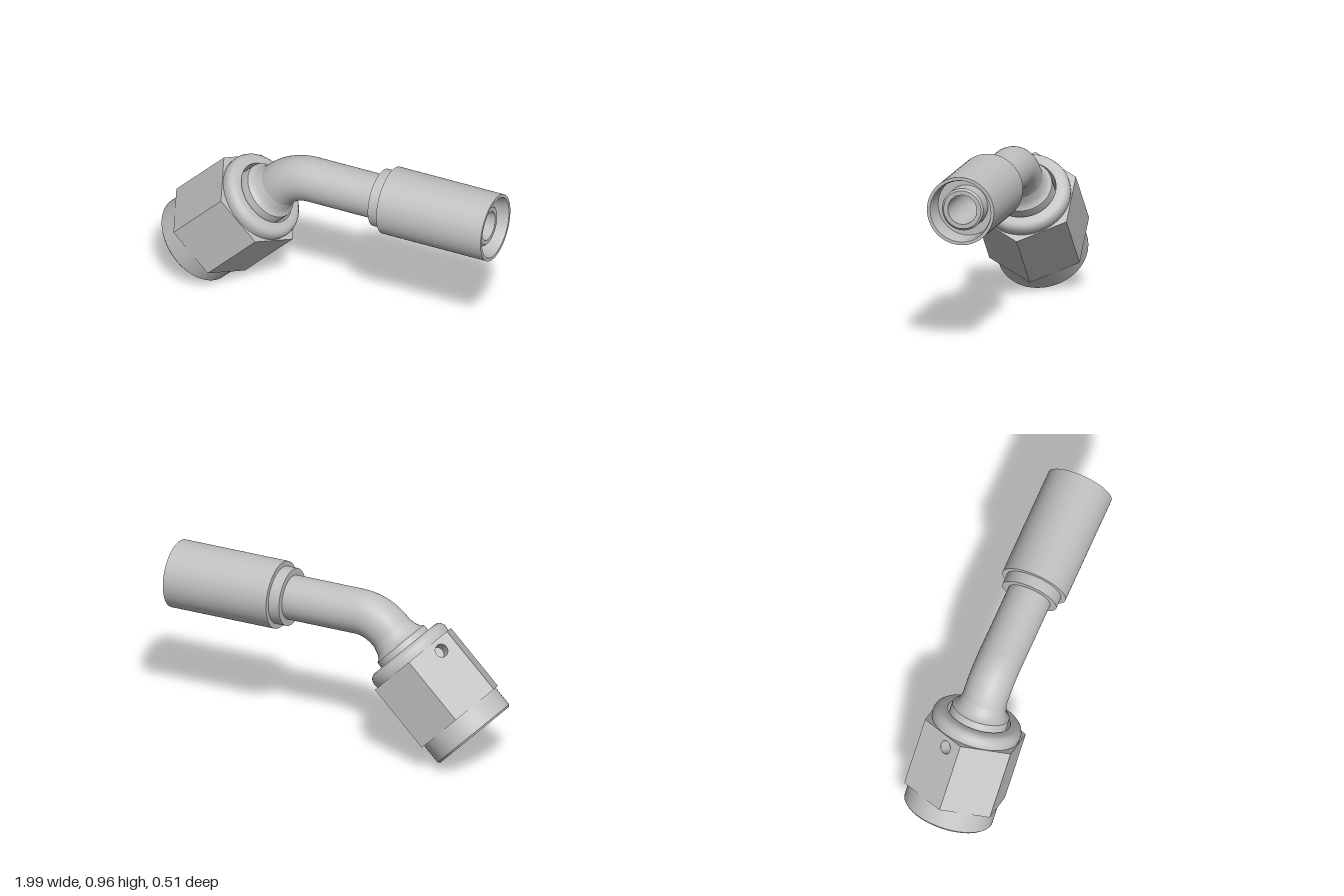
import * as THREE from 'three';
import { toCreasedNormals } from 'three/addons/utils/BufferGeometryUtils.js';

const AXIS_Y = 0.78;      // height of the straight tube's axis
const BEND_X = -0.223;    // where the straight axis meets the 45 degree axis
const FLAT = 0.2557;      // hexagon centre to flat
const HEX_TOP = -0.312, HEX_END = -0.721;

export function createModel() {
  const steel = new THREE.MeshStandardMaterial({ color: 0xc0c0c0, side: THREE.DoubleSide });
  steel.name = 'steel';
  const model = new THREE.Group();
  model.name = 'angledHoseFitting';

  const add = (parent, name, geometry) => {
    const mesh = new THREE.Mesh(geometry, steel);
    mesh.name = name;
    parent.add(mesh);
    return mesh;
  };
  const lathe = (profile) => toCreasedNormals(
    new THREE.LatheGeometry(profile.map(([r, y]) => new THREE.Vector2(r, y)), 72), 0.6);

  // Bent tube: straight run, 45 degree bend, sloping run
  const k = Math.SQRT1_2, t = 0.116;
  const slope = (s) => new THREE.Vector3(BEND_X - k * s, AXIS_Y - k * s, 0);
  const sweep = (xStart, sEnd, radius) => {
    const path = new THREE.CurvePath();
    const bendStart = new THREE.Vector3(BEND_X + t, AXIS_Y, 0);
    path.add(new THREE.LineCurve3(new THREE.Vector3(xStart, AXIS_Y, 0), bendStart));
    path.add(new THREE.QuadraticBezierCurve3(bendStart, slope(0), slope(t)));
    path.add(new THREE.LineCurve3(slope(t), slope(sEnd)));
    return new THREE.TubeGeometry(path, 120, radius, 56);
  };
  add(model, 'bentTube', sweep(0.34, 0.17, 0.125));
  add(model, 'tubeBore', sweep(0.96, 0.62, 0.082));

  // Crimp sleeve with its collar and inner stem, along +x
  const hoseEnd = new THREE.Group();
  hoseEnd.name = 'hoseEnd';
  hoseEnd.position.y = AXIS_Y;
  hoseEnd.rotation.z = -Math.PI / 2;
  model.add(hoseEnd);
  add(hoseEnd, 'sleeve', lathe([
    [0.12, 0.30], [0.162, 0.30], [0.162, 0.365], [0.19, 0.365], [0.19, 1],
    [0.172, 1], [0.165, 0.97], [0.165, 0.85], [0.115, 0.85]]));
  add(hoseEnd, 'stem', lathe([[0.117, 0.85], [0.117, 0.95], [0.106, 0.96], [0.082, 0.96]]));

  // Swivel nut, its axis along local y
  const nut = new THREE.Group();
  nut.name = 'swivelNut';
  nut.position.set(BEND_X, AXIS_Y, 0);
  nut.rotation.z = -Math.PI / 4;
  model.add(nut);

  // Flared tube end with its cone nose
  add(nut, 'flaredSeat', lathe([
    [0.082, -0.62], [0.115, -0.62], [0.17, -0.55], [0.165, -0.45], [0.165, -0.215],
    [0.163, -0.205], [0.148, -0.195], [0.134, -0.17], [0.125, -0.13]]));

  // Rounded collar, hollow inside and round skirt
  add(nut, 'nutBody', lathe([
    [0.25, HEX_TOP], [0.253, -0.29], [0.252, -0.275], [0.245, -0.257], [0.232, -0.245], [0.215, -0.24],
    [0.18, -0.24], [0.18, -0.40], [0.215, -0.46], [0.215, -0.8485],
    [0.243, -0.8485], [0.253, -0.838], [0.253, HEX_END]]));

  // Six flats, one with a blind wire hole
  const half = FLAT / Math.sqrt(3);
  const hole = { x: 0.05, y: -0.375, r: 0.037, depth: 0.07 };
  for (let i = 0; i < 6; i++) {
    const side = new THREE.Group();
    side.name = 'hexSide';
    side.rotation.y = i * Math.PI / 3;
    nut.add(side);
    const shape = new THREE.Shape([
      new THREE.Vector2(-half, HEX_END), new THREE.Vector2(half, HEX_END),
      new THREE.Vector2(half, HEX_TOP), new THREE.Vector2(-half, HEX_TOP)]);
    if (i === 4) {
      shape.holes.push(new THREE.Path().absarc(hole.x, hole.y, hole.r, 0, Math.PI * 2, true));
      const wall = add(side, 'wireHole',
        new THREE.CylinderGeometry(hole.r, hole.r, hole.depth, 24, 1, true).rotateX(Math.PI / 2));
      wall.position.set(hole.x, hole.y, FLAT - hole.depth / 2);
      const floor = add(side, 'wireHoleFloor', new THREE.CircleGeometry(hole.r, 24));
      floor.position.set(hole.x, hole.y, FLAT - hole.depth);
    }
    add(side, 'hexFlat', new THREE.ShapeGeometry(shape, 24)).position.z = FLAT;
  }

  // Hexagon end faces, open in the middle
  const corners = Array.from({ length: 6 }, (_, i) =>
    new THREE.Vector2(2 * half * Math.cos(i * Math.PI / 3), 2 * half * Math.sin(i * Math.PI / 3)));
  const ring = new THREE.Shape(corners);
  ring.holes.push(new THREE.Path().absarc(0, 0, 0.249, 0, Math.PI * 2, true));
  for (const [y, turn] of [[HEX_TOP, -1], [HEX_END, 1]]) {
    add(nut, 'hexEnd', new THREE.ShapeGeometry(ring, 36).rotateX(turn * Math.PI / 2)).position.y = y;
  }
  return model;
}
